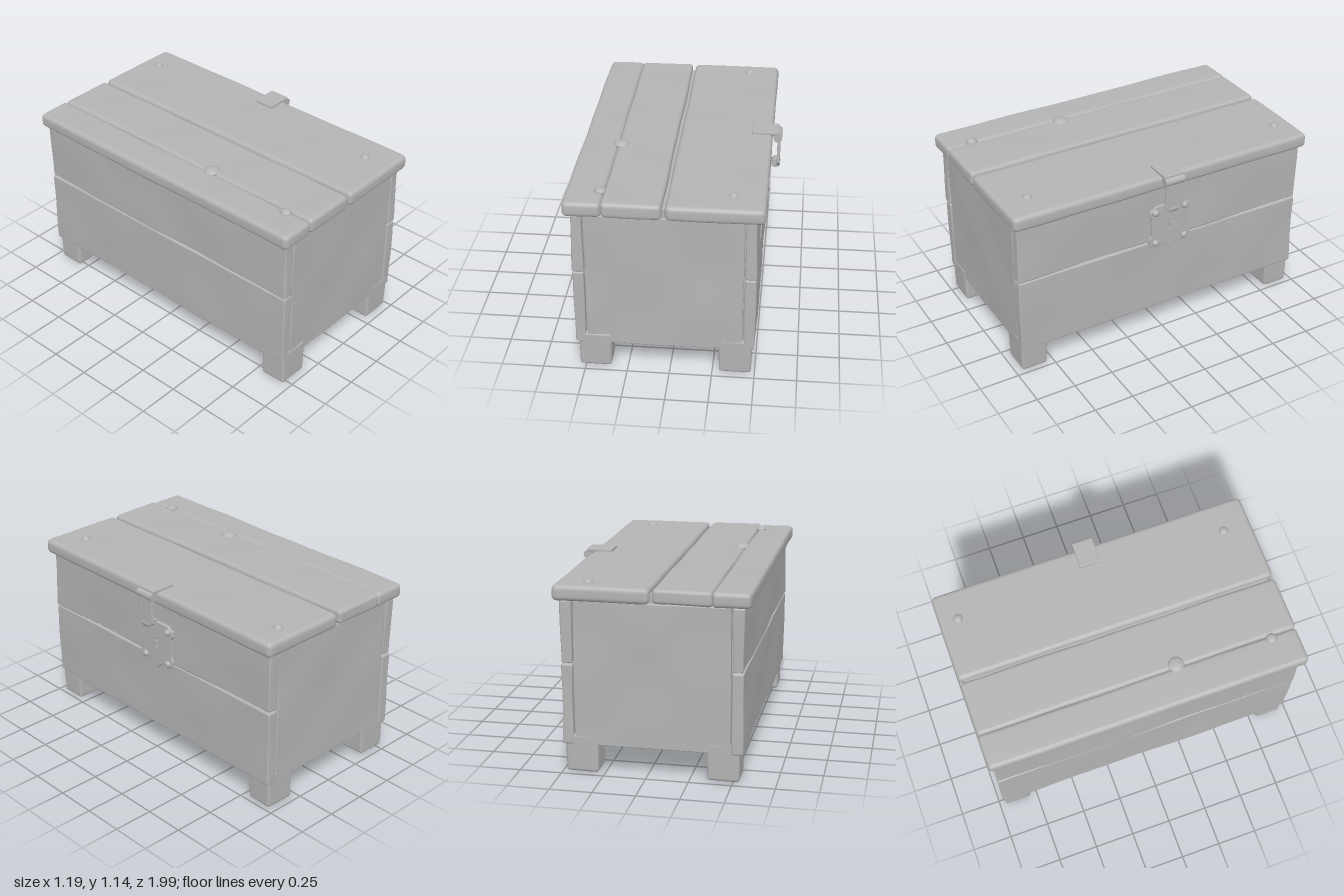
import * as THREE from 'three';
import { mergeVertices } from 'three/addons/utils/BufferGeometryUtils.js';

const grey = new THREE.MeshStandardMaterial({ color: 0xb4b4b4 });
grey.name = 'plain grey';

// Smooth uneven surface, 0..1
const worn = (x, y, z, s) =>
  0.5 + 0.25 * Math.sin(x * 9 + z * 5 + s * 2.1) * Math.cos(y * 11 + s) +
  0.25 * Math.sin(z * 8.3 + y * 6 + s * 1.7) * Math.cos(x * 7 - z * 3 + s);

function add(parent, geometry, name, x = 0, y = 0, z = 0) {
  const mesh = new THREE.Mesh(geometry, grey);
  mesh.name = name;
  mesh.position.set(x, y, z);
  parent.add(mesh);
  return mesh;
}

// Rounded box given by its limits, with a hand-hewn surface
function hewn(parent, name, [x0, x1], [y0, y1], [z0, z1], r, seed = 0, dent = 0.012, taper = 0) {
  const size = [x1 - x0, y1 - y0, z1 - z0];
  const mid = [(x0 + x1) / 2, (y0 + y1) / 2, (z0 + z1) / 2];
  const seg = size.map(s => 6 + Math.max(2, Math.ceil(s / 0.07)));
  const g = new THREE.BoxGeometry(1, 1, 1, ...seg);
  g.deleteAttribute('normal');
  g.deleteAttribute('uv');
  const pos = g.attributes.position;
  const v = new THREE.Vector3(), inner = new THREE.Vector3(), out = new THREE.Vector3();
  for (let i = 0; i < pos.count; i++) {
    v.fromBufferAttribute(pos, i);
    for (let a = 0; a < 3; a++) {
      // Three rows of each border make the rounded edge
      const k = Math.round((v.getComponent(a) + 0.5) * seg[a]), n = seg[a], half = size[a] / 2;
      const c = k <= 3 ? -half + r * k / 3 : k >= n - 3 ? half - r * (n - k) / 3
        : -half + r + (size[a] - 2 * r) * (k - 3) / (n - 6);
      v.setComponent(a, c);
      inner.setComponent(a, THREE.MathUtils.clamp(c, -half + r, half - r));
    }
    out.copy(v).sub(inner).normalize();
    const push = r - dent * worn(v.x + mid[0], v.y + mid[1], v.z + mid[2], seed);
    v.copy(inner).addScaledVector(out, push);
    const t = 1 - taper * (0.5 - v.y / size[1]);
    pos.setXYZ(i, v.x * t, v.y, v.z * t);
  }
  const merged = mergeVertices(g, 1e-5);
  merged.computeVertexNormals();
  return add(parent, merged, name, ...mid);
}

function buildBody() {
  const body = new THREE.Group();
  body.name = 'body';
  hewn(body, 'innerBox', [-0.52, 0.46], [0.172, 1.04], [-0.93, 0.93], 0.01, 0, 0.002);
  const rows = [[0.17, 0.663], [0.657, 1.04]];
  rows.forEach((y, i) => {
    hewn(body, 'lockSidePlank', [0.425, 0.503], y, [-0.972, 0.972], 0.016, 1 + i);
    hewn(body, 'rearSidePlank', [-0.563, -0.485], y, [-0.972, 0.972], 0.016, 4 + i);
  });
  // End panels sit between the long planks
  for (const s of [-1, 1]) {
    hewn(body, 'endPanel', [-0.49, 0.43], [0.17, 1.04],
      s > 0 ? [0.89, 0.967] : [-0.967, -0.89], 0.012, 7 + s, 0.012);
  }
  // Feet
  for (const x of [[-0.545, -0.34], [0.28, 0.487]]) {
    for (const z of [[0.785, 0.967], [-0.967, -0.785]]) {
      hewn(body, 'foot', x, [0.004, 0.24], z, 0.022, x[0] * 5 + z[0], 0.008, 0.05);
    }
  }
  return body;
}

function buildLid() {
  const lid = new THREE.Group();
  lid.name = 'lid';
  const y = [1.03, 1.13], z = [-1, 1];
  hewn(lid, 'rearLidPlank', [-0.602, -0.372], y, z, 0.032, 2, 0.01);
  hewn(lid, 'middleLidPlank', [-0.386, -0.034], [1.032, 1.134], z, 0.03, 5, 0.012);
  hewn(lid, 'frontLidPlank', [-0.026, 0.542], y, z, 0.032, 8, 0.008);
  // Backing strip closes the long crack and joint from below
  add(lid, new THREE.BoxGeometry(0.46, 0.05, 1.92), 'lidBacking', -0.2, 1.065, 0);
  // Knots and nail heads
  const knots = [[0.35, 0.82, 0.03], [0.35, -0.88, 0.03], [-0.36, 0.24, 0.05], [-0.4, 0.83, 0.035]];
  for (const [x, zz, r] of knots) {
    add(lid, new THREE.SphereGeometry(r, 14, 8), 'knot', x, 1.122, zz).scale.y = 0.022 / r;
  }
  return lid;
}

function plateShape() {
  // Lock plate outline: notched corners and a pointed foot
  const right = [[0.095, 0.285], [0.112, 0.268], [0.132, 0.262], [0.136, 0.235], [0.122, 0.21],
    [0.122, 0.09], [0.138, 0.065], [0.136, 0.03], [0.115, 0.012], [0.085, 0.01], [0.065, 0.022],
    [0.032, 0.018], [0.02, 0]];
  const left = right.map(([x, y]) => [-x, y]).reverse();
  const shape = new THREE.Shape([...right, [0, -0.02], ...left].map(p => new THREE.Vector2(...p)));
  const hole = new THREE.Path();
  hole.absarc(0, 0.165, 0.014, -0.9, Math.PI + 0.9, false);
  hole.lineTo(-0.009, 0.115);
  hole.lineTo(0.009, 0.115);
  hole.closePath();
  shape.holes.push(hole);
  return shape;
}

function buildLock() {
  const lock = new THREE.Group();
  lock.name = 'lock';
  const z = -0.02;
  // Lock plate with rivets
  const plate = new THREE.ExtrudeGeometry(plateShape(), {
    depth: 0.014, bevelEnabled: true, bevelSize: 0.004, bevelThickness: 0.004, bevelSegments: 2 });
  add(lock, plate, 'lockPlate', 0.493, 0.617, -0.035).rotation.y = Math.PI / 2;
  for (const [y, dz] of [[0.655, 0.1], [0.655, -0.1], [0.868, 0.1], [0.868, -0.1]]) {
    add(lock, new THREE.SphereGeometry(0.022, 14, 10), 'rivet', 0.513, y, -0.035 + dz).scale.x = 0.85;
  }
  // Strap on the lid and hinge knuckle
  hewn(lock, 'lidStrap', [0.41, 0.575], [1.12, 1.143], [z - 0.067, z + 0.067], 0.006, 3, 0.003);
  const knuckle = (name, x, y, r, w) => {
    add(lock, new THREE.CylinderGeometry(r, r, w, 16), name, x, y, z).rotation.x = Math.PI / 2;
  };
  knuckle('hingeKnuckle', 0.568, 1.102, 0.027, 0.128);
  // Hanging hasp, narrowing at its foot
  const hasp = new THREE.Shape([[-0.06, 0.2], [-0.052, 0.17], [-0.06, 0.03], [-0.045, 0.012],
    [-0.03, 0], [0.03, 0], [0.045, 0.012], [0.06, 0.03], [0.052, 0.17], [0.06, 0.2]]
    .map(p => new THREE.Vector2(...p)));
  const haspGeo = new THREE.ExtrudeGeometry(hasp, {
    depth: 0.012, bevelEnabled: true, bevelSize: 0.003, bevelThickness: 0.003, bevelSegments: 2 });
  const h = add(lock, haspGeo, 'hasp', 0.57, 0.905, z);
  h.rotation.set(0, Math.PI / 2, 0);
  // Catch joining the hasp to the plate
  knuckle('haspKnuckle', 0.56, 0.915, 0.028, 0.06);
  const catchPath = new THREE.CatmullRomCurve3([[0.495, 0.9, z], [0.52, 0.915, z], [0.56, 0.908, z]]
    .map(p => new THREE.Vector3(...p)));
  add(lock, new THREE.TubeGeometry(catchPath, 10, 0.014, 10), 'catch');
  return lock;
}

export function createModel() {
  const chest = new THREE.Group();
  chest.name = 'chest';
  const parts = new THREE.Group();
  parts.name = 'chestParts';
  parts.add(buildBody(), buildLid(), buildLock());
  chest.add(parts);
  return chest;
}
